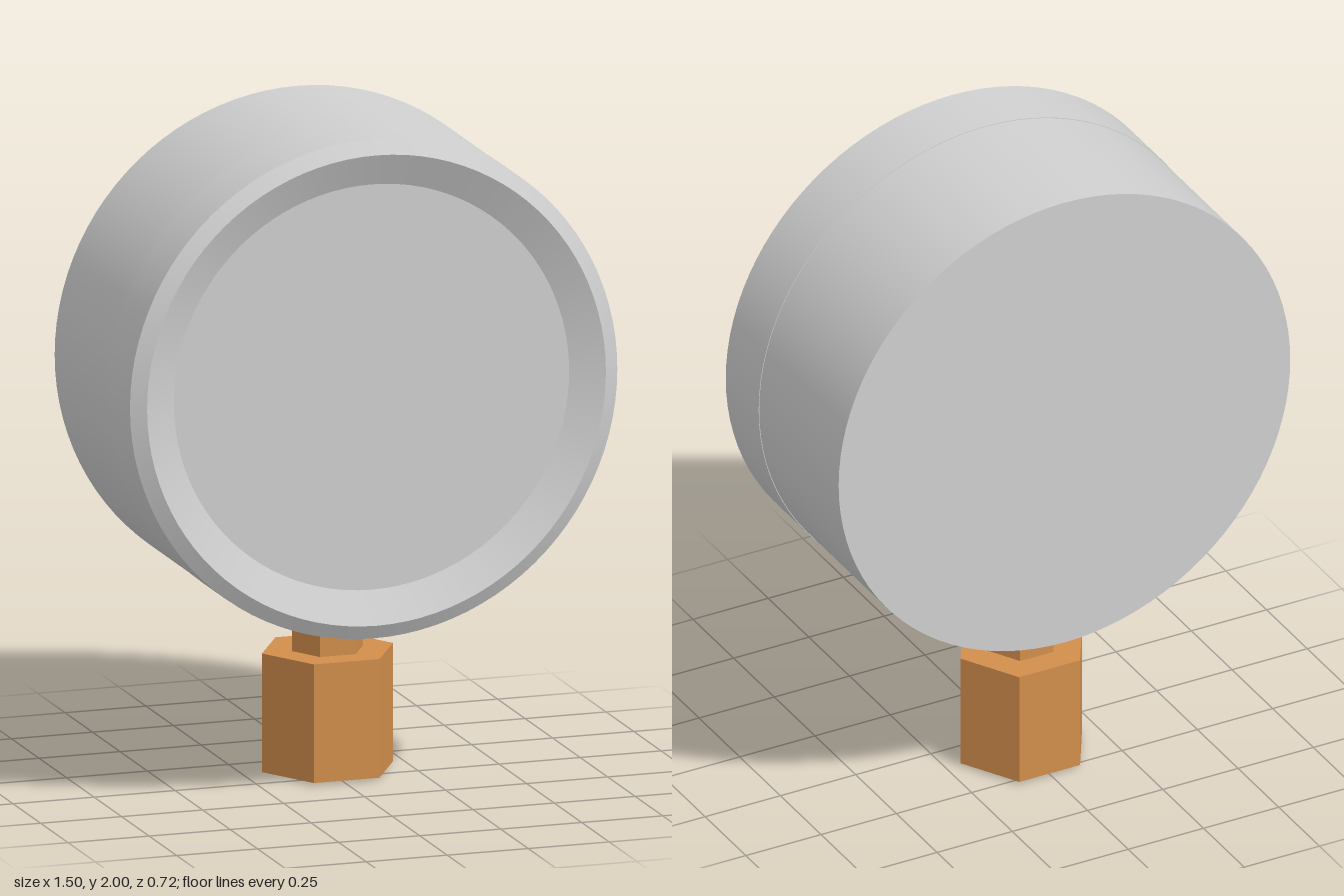
import * as THREE from 'three';
import { toCreasedNormals } from 'three/addons/utils/BufferGeometryUtils.js';

const profile = (pairs) => pairs.map(([r, h]) => new THREE.Vector2(r, h));

export function createModel() {
  const model = new THREE.Group();
  model.name = 'pressureGauge';

  const steel = new THREE.MeshStandardMaterial({ color: 0xd0d0d0 });
  steel.name = 'steel grey';
  const brass = new THREE.MeshStandardMaterial({ color: 0xd28e4c, flatShading: true });
  brass.name = 'brass';

  const add = (name, geometry, material, x, y, z) => {
    const mesh = new THREE.Mesh(geometry, material);
    mesh.name = name;
    mesh.position.set(x, y, z);
    model.add(mesh);
  };

  // Round parts turn about z, with the profile running from back to front
  const turned = (pairs) =>
    toCreasedNormals(new THREE.LatheGeometry(profile(pairs), 96).rotateX(Math.PI / 2), 0.35);

  // Case: flat back and plain drum, reaching inside the bezel
  add('case', turned([[0, -0.358], [0.75, -0.358], [0.75, 0.14]]), steel, 0, 1.248, 0);

  // Bezel with chamfered lip, sloping inwards to the recessed dial
  add('bezel', turned([
    [0.749, 0.13], [0.752, 0.13], [0.752, 0.332], [0.708, 0.358], [0.61, 0.312],
  ]), steel, 0, 1.248, 0);
  add('dial', new THREE.CircleGeometry(0.61, 96), steel, 0, 1.248, 0.312);

  // Hexagonal parts stand upright with corners to the left and right
  const hex = (pairs) => new THREE.LatheGeometry(profile(pairs), 6, Math.PI / 2);

  // Neck between nut and case
  add('neck', hex([[0.11, 0.35], [0.11, 0.56]]), brass, 0.004, 0, -0.1);

  // Nut with a hexagonal socket and a slight collar underneath
  add('nut', hex([
    [0, 0.3], [0.115, 0.3], [0.115, 0], [0.127, 0], [0.127, 0.008],
    [0.202, 0.008], [0.202, 0.365], [0, 0.365],
  ]), brass, 0.004, 0, -0.1);

  return model;
}
